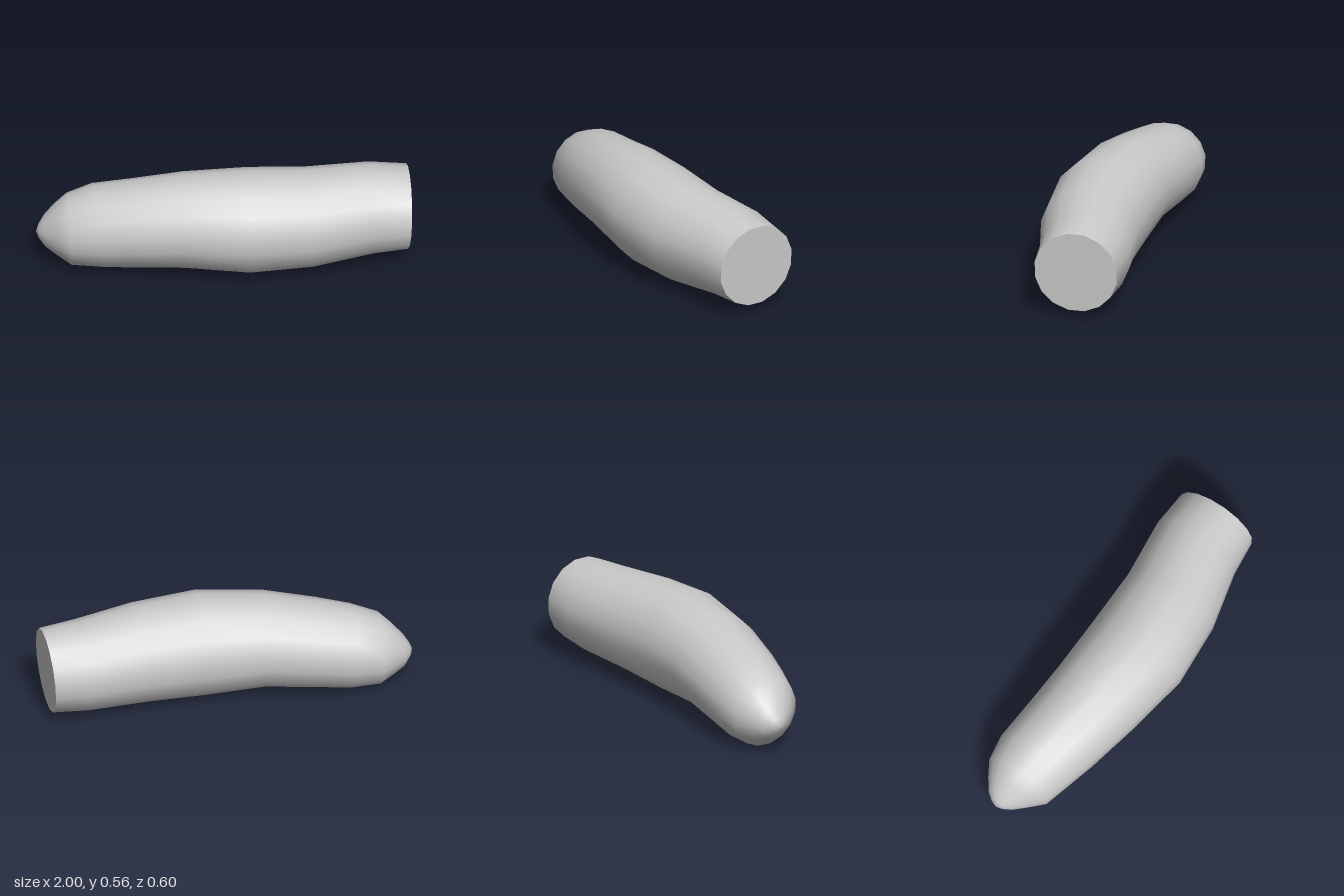
import * as THREE from 'three';

const SIDES = 16;

// Cross-sections from the cut end to the rounded end. Each gives the extremes of one ring:
// top x,y | bottom x,y | back x,z | front x,z
const SECTIONS = [
  [0.997, 0.497, 0.977, 0.048, 0.98, -0.295, 0.999, 0.154],
  [0.8, 0.52, 0.79, 0.035, 0.77, -0.304, 0.8, 0.18],
  [0.47, 0.54, 0.46, 0.012, 0.44, -0.262, 0.48, 0.266],
  [0.13, 0.56, 0.13, 0.005, 0.13, -0.257, 0.13, 0.3],
  [-0.22, 0.535, -0.2, 0.03, -0.2, -0.26, -0.24, 0.25],
  [-0.49, 0.485, -0.47, 0.014, -0.44, -0.277, -0.52, 0.19],
  [-0.69, 0.445, -0.64, 0.003, -0.68, -0.296, -0.67, 0.15],
  [-0.83, 0.39, -0.81, 0.009, -0.82, -0.275, -0.83, 0.105],
  [-0.9, 0.33, -0.89, 0.055, -0.895, -0.228, -0.895, 0.04],
  [-0.955, 0.267, -0.95, 0.095, -0.95, -0.188, -0.955, -0.022],
  [-0.985, 0.218, -0.985, 0.142, -0.985, -0.142, -0.985, -0.065],
];
const TIP = [-1, 0.18, -0.103];

// Sixteen corners of one ring, running from the top towards the front
function ring([tx, ty, bx, by, kx, kz, fx, fz]) {
  const centre = new THREE.Vector3((tx + bx + kx + fx) / 4, (ty + by) / 2, (kz + fz) / 2);
  const flat = Math.cos(Math.PI / SIDES); // the extremes lie on flat sides
  const up = new THREE.Vector3(tx - bx, ty - by, 0).multiplyScalar(0.5 / flat);
  const front = new THREE.Vector3(fx - kx, 0, fz - kz).multiplyScalar(0.5 / flat);
  return Array.from({ length: SIDES }, (_, j) => {
    const a = ((j + 0.5) / SIDES) * Math.PI * 2;
    return centre.clone().addScaledVector(up, Math.cos(a)).addScaledVector(front, Math.sin(a));
  });
}

function buildGeometry(points, index) {
  const geometry = new THREE.BufferGeometry().setFromPoints(points);
  geometry.setIndex(index);
  geometry.computeVertexNormals();
  return geometry;
}

export function createModel() {
  const group = new THREE.Group();
  group.name = 'curvedBody';
  const material = new THREE.MeshStandardMaterial({ color: 0xcccccc });
  const add = (name, geometry) => {
    const mesh = new THREE.Mesh(geometry, material);
    mesh.name = name;
    group.add(mesh);
  };
  const rings = SECTIONS.map(ring);

  // Smooth skin closed by a rounded tip
  const points = [...rings.flat(), new THREE.Vector3(...TIP)];
  const tip = points.length - 1;
  const index = [];
  for (let i = 0; i < rings.length; i++) {
    for (let j = 0; j < SIDES; j++) {
      const a = i * SIDES + j;
      const b = i * SIDES + ((j + 1) % SIDES);
      if (i === rings.length - 1) index.push(a, tip, b);
      else index.push(a, a + SIDES, b, b, a + SIDES, b + SIDES);
    }
  }
  add('skin', buildGeometry(points, index));

  // Flat cut end
  const capIndex = [];
  for (let j = 1; j < SIDES - 1; j++) capIndex.push(0, j, j + 1);
  add('cutEnd', buildGeometry(rings[0], capIndex));

  return group;
}
